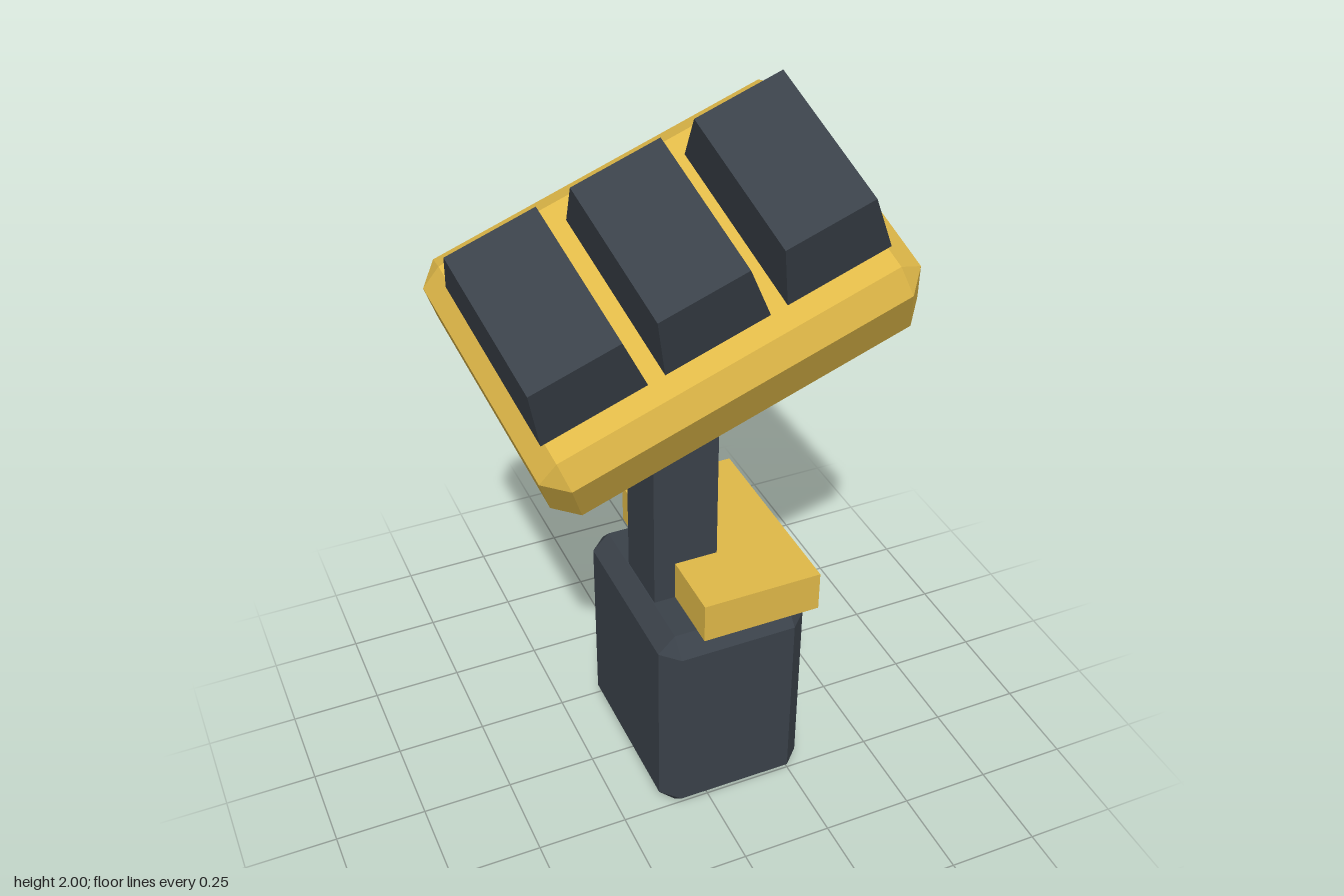
import * as THREE from 'three';
import { ConvexGeometry } from 'three/addons/geometries/ConvexGeometry.js';

const dark = new THREE.MeshStandardMaterial({ name: 'charcoal', color: 0x3a4149, flatShading: true });
const gold = new THREE.MeshStandardMaterial({ name: 'mustard', color: 0xdfb848, flatShading: true });

// Box with every edge cut off at 45 degrees and a triangle at each corner
function chamferedBox(w, h, d, c) {
  const points = [];
  for (const sx of [-1, 1]) for (const sy of [-1, 1]) for (const sz of [-1, 1]) {
    for (let axis = 0; axis < 3; axis++) {
      const p = [w / 2 - c, h / 2 - c, d / 2 - c];
      p[axis] += c;
      points.push(new THREE.Vector3(p[0] * sx, p[1] * sy, p[2] * sz));
    }
  }
  return new ConvexGeometry(points);
}

// Box standing on its origin whose top is scaled down
function taperedBox(w, h, d, taper) {
  const geometry = new THREE.BoxGeometry(w, h, d).translate(0, h / 2, 0);
  const pos = geometry.attributes.position;
  for (let i = 0; i < pos.count; i++) {
    if (pos.getY(i) > h / 2) pos.setXYZ(i, pos.getX(i) * taper, pos.getY(i), pos.getZ(i) * taper);
  }
  geometry.computeVertexNormals();
  return geometry;
}

function addPart(parent, name, geometry, material, x, y, z) {
  const mesh = new THREE.Mesh(geometry, material);
  mesh.name = name;
  mesh.position.set(x, y, z);
  parent.add(mesh);
  return mesh;
}

export function createModel() {
  const model = new THREE.Group();
  model.name = 'model';

  // Bevelled base block, collar plate and post
  addPart(model, 'base', chamferedBox(0.42, 0.61, 0.56, 0.047), dark, 0.07, 0.305, 0);
  addPart(model, 'collar', new THREE.BoxGeometry(0.33, 0.115, 0.56), gold, 0.135, 0.667, 0);
  addPart(model, 'post', new THREE.BoxGeometry(0.18, 0.9, 0.18), dark, 0, 1.03, 0);

  // Tilted head with three tapered blocks on its upper face
  const head = new THREE.Group();
  head.name = 'head';
  head.position.set(0, 1.49, 0);
  head.rotation.set(0.495, 0, 0.35, 'ZYX');
  model.add(head);
  addPart(head, 'headBody', chamferedBox(1.022, 0.276, 0.696, 0.056), gold, 0, 0, 0);
  const block = taperedBox(0.28, 0.188, 0.47, 0.846);
  ['rightBlock', 'middleBlock', 'leftBlock'].forEach((name, i) => {
    addPart(head, name, block, dark, (i - 1) * 0.325, 0.138, 0);
  });

  return model;
}
